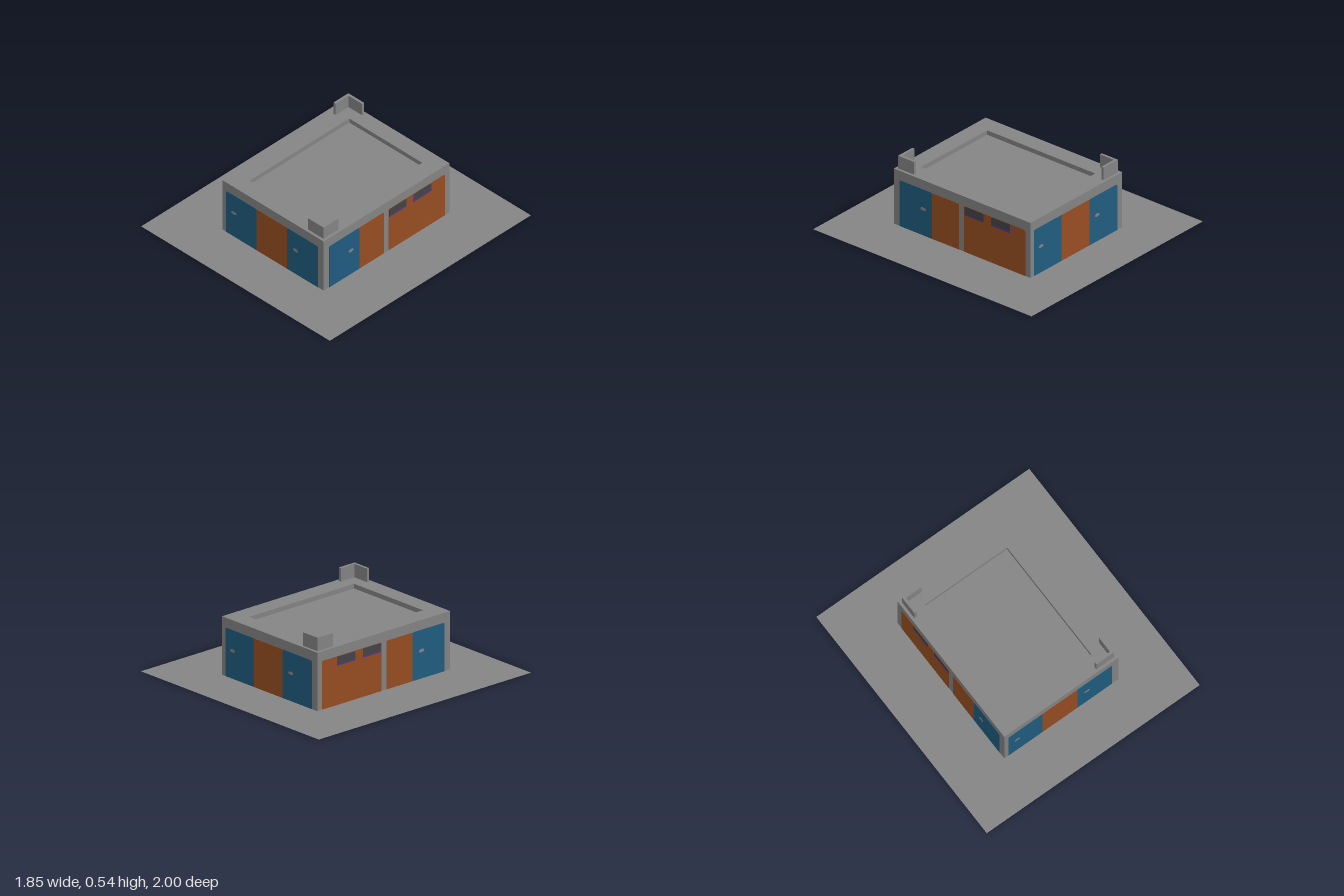
import * as THREE from 'three';

const W = 0.495, D = 0.625, H = 0.435;        // half width, half depth, height of the building
const RW = 0.358, RD = 0.495, SINK = 0.035;   // roof recess

const flat = (name, color) => {
  const m = new THREE.MeshStandardMaterial({ color, side: THREE.DoubleSide });
  m.name = name;
  return m;
};

function rect(hw, hd) {
  return [[-hw, -hd], [hw, -hd], [hw, hd], [-hw, hd]].map(p => new THREE.Vector2(...p));
}

// Horizontal rectangle with a rectangular opening
function frame(hw, hd, iw, id) {
  const s = new THREE.Shape(rect(hw, hd));
  s.holes.push(new THREE.Path(rect(iw, id).reverse()));
  return new THREE.ShapeGeometry(s).rotateX(-Math.PI / 2);
}

// Thin plate straddling the wall surface, with rounded upper corners (rl, rr)
function plate(u0, u1, v0, v1, thick, rl = 0, rr = 0) {
  const s = new THREE.Shape();
  s.moveTo(u0, v0);
  s.lineTo(u1, v0);
  s.lineTo(u1, v1 - rr);
  if (rr) s.quadraticCurveTo(u1, v1, u1 - rr, v1);
  s.lineTo(u0 + rl, v1);
  if (rl) s.quadraticCurveTo(u0, v1, u0, v1 - rl);
  s.closePath();
  return new THREE.ExtrudeGeometry(s, { depth: thick, bevelEnabled: false, curveSegments: 4 })
    .translate(0, 0, -thick / 2);
}

export function createModel() {
  const model = new THREE.Group();
  model.name = 'building';
  const grey = flat('concrete grey', 0x858585);
  const blue = flat('door blue', 0x205d80);
  const orange = flat('panel orange', 0x984e22);
  const dark = flat('window dark', 0x444448);
  const purple = flat('sill purple', 0x4b35a0);

  const add = (parent, name, geo, mat) => {
    const m = new THREE.Mesh(geo, mat);
    m.name = name;
    parent.add(m);
    return m;
  };

  // Ground sheet, open beneath the building
  add(model, 'ground', frame(0.925, 1, W, D), grey);

  // Roof rim and sunken middle
  add(model, 'roofRim', frame(W, D, RW, RD), grey).position.y = H;
  add(model, 'roofRecessFloor', new THREE.PlaneGeometry(RW * 2, RD * 2).rotateX(-Math.PI / 2), grey)
    .position.y = H - SINK;
  for (let i = 0; i < 4; i++) {
    const alongX = i % 2 === 0;
    const geo = new THREE.PlaneGeometry(alongX ? RW * 2 : RD * 2, SINK);
    geo.translate(0, H - SINK / 2, -(alongX ? RD : RW)).rotateY(i * Math.PI / 2);
    add(model, 'roofRecessSide', geo, grey);
  }

  // L-shaped parapets on two opposite roof corners
  for (const turn of [0, Math.PI]) {
    const L = new THREE.Shape([[0, 0], [0.153, 0], [0.153, 0.02], [0.021, 0.02], [0.021, 0.147], [0, 0.147]]
      .map(p => new THREE.Vector2(...p)));
    const geo = new THREE.ExtrudeGeometry(L, { depth: 0.1, bevelEnabled: false });
    geo.rotateX(Math.PI / 2).translate(-0.474, H + 0.1, -0.604).rotateY(turn);
    add(model, 'cornerParapet', geo, grey);
  }

  // Wall sheet in its own frame: u to the right, v up
  const wall = (name, half, distance, turn) => {
    const g = new THREE.Group();
    g.name = name;
    add(g, 'wallSheet', new THREE.PlaneGeometry(half * 2, H).translate(0, H / 2, 0), grey);
    g.position.set(Math.sin(turn) * distance, 0, Math.cos(turn) * distance);
    g.rotation.y = turn;
    model.add(g);
    return g;
  };
  const handle = (g, u) => {
    const geo = new THREE.CylinderGeometry(1, 1, 0.008, 8).rotateX(Math.PI / 2).scale(0.026, 0.013, 1);
    add(g, 'doorHandle', geo, grey).position.set(u, 0.208, 0);
  };

  // Front and back: two doors either side of a panel
  for (const [name, turn] of [['frontWall', 0], ['backWall', Math.PI]]) {
    const g = wall(name, W, D, turn);
    add(g, 'door', plate(-0.458, -0.163, 0, 0.362, 0.004, 0.015, 0.01), blue);
    add(g, 'panel', plate(-0.163, 0.138, 0, 0.362, 0.004), orange);
    add(g, 'door', plate(0.138, 0.441, 0, 0.362, 0.004, 0.01, 0.015), blue);
    handle(g, -0.384);
    handle(g, 0.222);
  }

  // Sides: mirrored, door towards the front and windows towards the back
  for (const side of [1, -1]) {
    const g = wall(side > 0 ? 'rightWall' : 'leftWall', D, W, side * Math.PI / 2);
    const span = (a, b, ...rest) => plate(Math.min(a * side, b * side), Math.max(a * side, b * side), ...rest);
    add(g, 'door', span(-0.57, -0.272, 0, 0.362, 0.004, 0.012, 0.012), blue);
    add(g, 'panel', span(-0.272, -0.027, 0, 0.362, 0.004, 0.012, 0.012), orange);
    add(g, 'longPanel', span(0.02, 0.58, 0, 0.362, 0.004, 0.012, 0.012), orange);
    handle(g, -0.355 * side);
    for (const [a, b] of [[0.025, 0.197], [0.268, 0.443]]) {
      add(g, 'window', span(a, b, 0.3, 0.36, 0.006, 0.01, 0.01), dark);
      add(g, 'windowSill', span(a, b, 0.292, 0.301, 0.007), purple);
    }
    // Jambs of the rear window
    for (const u of [0.268, 0.438]) add(g, 'windowJamb', span(u, u + 0.005, 0.3, 0.355, 0.007), purple);
  }
  return model;
}
